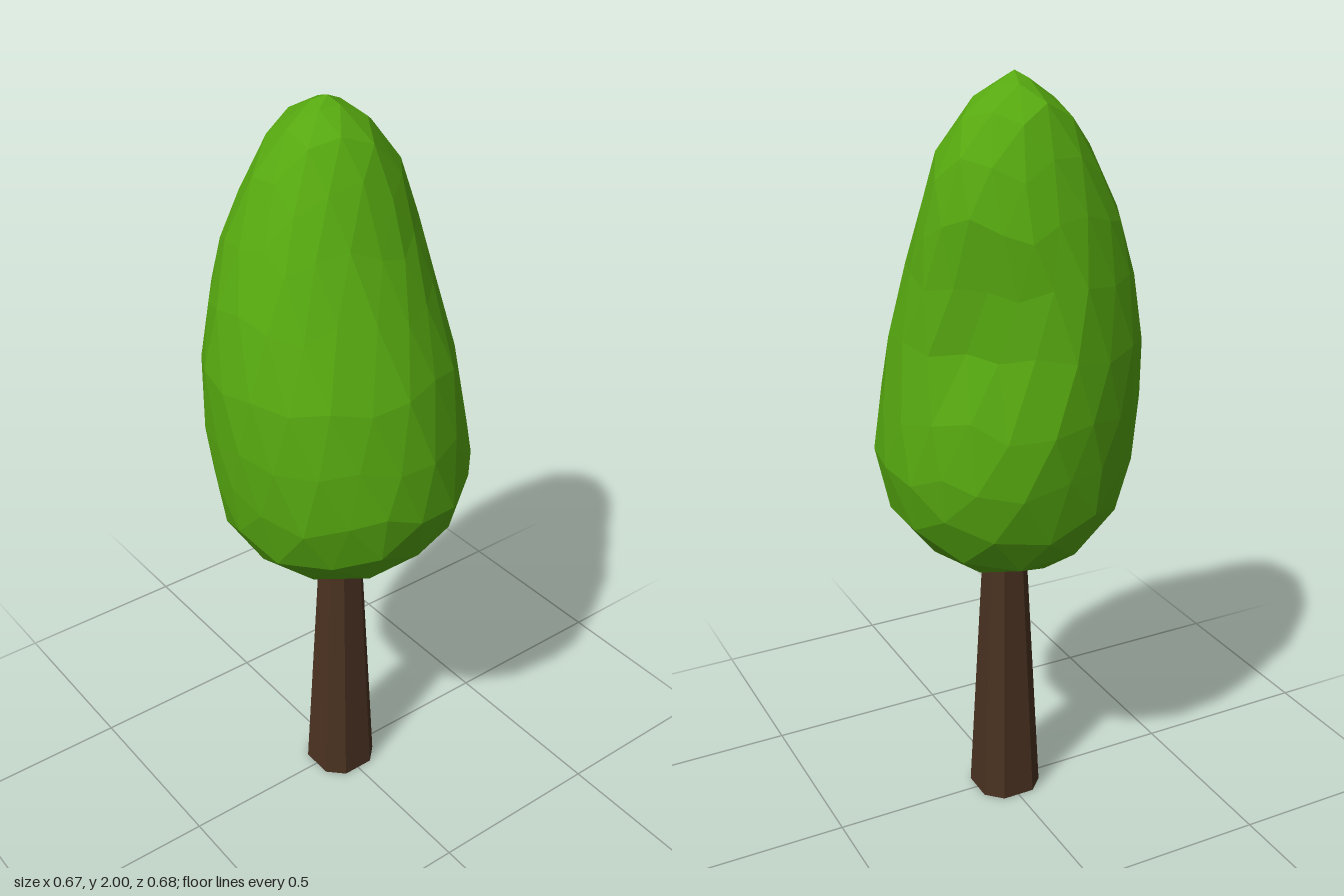
import * as THREE from 'three';

// Crown sections: height, min x, max x, min z, max z
const SECTIONS = [
  [0.72, 0, 0, -0.02, -0.02],
  [0.735, -0.13, 0.14, -0.15, 0.11],
  [0.8, -0.22, 0.23, -0.25, 0.21],
  [0.86, -0.285, 0.29, -0.29, 0.275],
  [0.94, -0.322, 0.32, -0.315, 0.317],
  [1.0, -0.328, 0.34, -0.325, 0.342],
  [1.13, -0.342, 0.325, -0.338, 0.345],
  [1.3, -0.347, 0.308, -0.345, 0.31],
  [1.42, -0.325, 0.288, -0.333, 0.278],
  [1.6, -0.282, 0.255, -0.31, 0.185],
  [1.8, -0.19, 0.212, -0.25, 0.105],
  [1.9, -0.125, 0.15, -0.21, 0.065],
  [1.96, -0.07, 0.09, -0.165, 0.01],
  [2.0, 0, 0, -0.05, -0.05],
];

function sectionAt(y) {
  let i = 1;
  while (i < SECTIONS.length - 1 && SECTIONS[i][0] < y) i++;
  const a = SECTIONS[i - 1], b = SECTIONS[i];
  const t = THREE.MathUtils.clamp((y - a[0]) / (b[0] - a[0]), 0, 1);
  return a.map((v, k) => THREE.MathUtils.lerp(v, b[k], t));
}

function makeCrown() {
  const geometry = new THREE.IcosahedronGeometry(1, 3);
  geometry.rotateZ(-Math.atan(2 / (1 + Math.sqrt(5)))); // a corner at each pole
  const pos = geometry.attributes.position;
  const p = new THREE.Vector3();
  for (let i = 0; i < pos.count; i++) {
    p.fromBufferAttribute(pos, i);
    // gentle unevenness, fading towards the poles
    const level = Math.sqrt(Math.max(0, 1 - p.y * p.y));
    const wobble = Math.sin(p.x * 7 + p.y * 3) * Math.cos(p.z * 6 - p.y * 5) * level;
    const y = 1.36 + 0.64 * p.y + 0.022 * wobble;
    const [, x0, x1, z0, z1] = sectionAt(y);
    const flat = Math.hypot(p.x, p.z) || 1;
    const dx = p.x / flat, dz = p.z / flat;
    // hollow on the back left side
    const facing = Math.max(0, (dx - dz) * Math.SQRT1_2);
    const hollow = 0.22 * facing ** 8 * Math.exp(-(((y - 1.43) / 0.16) ** 2));
    const r = level < 1e-4 ? 0 : 1.01 - hollow - 0.025 * Math.abs(wobble);
    pos.setXYZ(i,
      (x0 + x1) / 2 + dx * r * (x1 - x0) / 2,
      y,
      (z0 + z1) / 2 + dz * r * (z1 - z0) / 2);
  }
  geometry.computeVertexNormals();
  return geometry;
}

function makeTrunk() {
  const height = 0.86;
  const geometry = new THREE.CylinderGeometry(0.05, 0.094, height, 8);
  geometry.rotateY(Math.PI / 8);
  geometry.translate(0, height / 2, 0);
  // widen the four main faces so the corners read as chamfers
  const pos = geometry.attributes.position;
  const widen = (a, b) => (Math.abs(a) < Math.abs(b) ? a * 1.25 : a);
  for (let i = 0; i < pos.count; i++) {
    const x = pos.getX(i), z = pos.getZ(i);
    pos.setX(i, widen(x, z));
    pos.setZ(i, widen(z, x));
  }
  geometry.computeVertexNormals();
  return geometry;
}

export function createModel() {
  const tree = new THREE.Group();
  tree.name = 'tree';
  const add = (name, geometry, color) => {
    const mesh = new THREE.Mesh(geometry, new THREE.MeshStandardMaterial({ color, flatShading: true }));
    mesh.name = name;
    tree.add(mesh);
  };
  add('trunk', makeTrunk(), 0x4a3221);
  add('crown', makeCrown(), 0x56a810);
  return tree;
}
